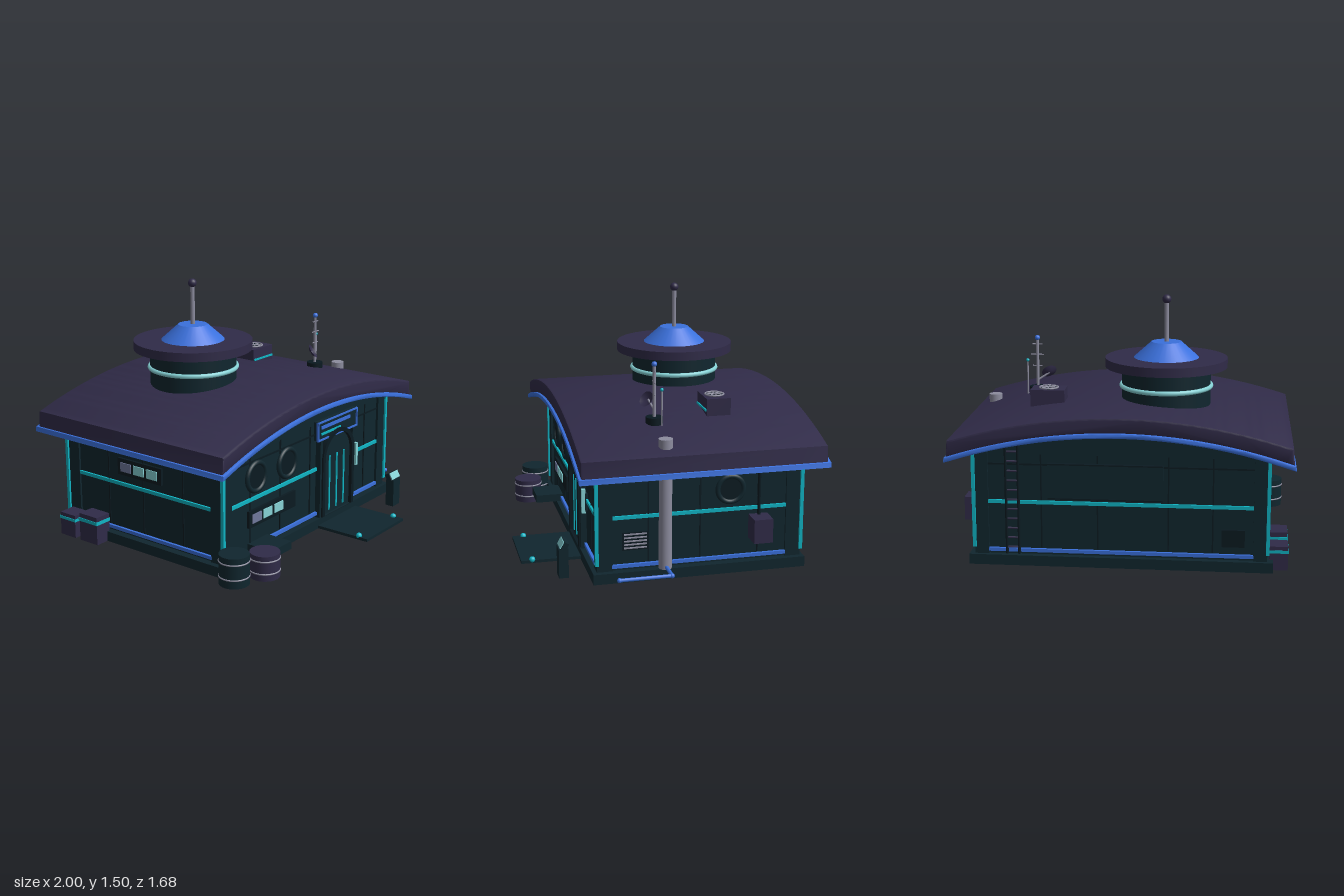
import * as THREE from 'three';
import { toCreasedNormals } from 'three/addons/utils/BufferGeometryUtils.js';

const mat = (name, color, extra = {}) => Object.assign(new THREE.MeshStandardMaterial({ color, ...extra }), { name });

export function createModel() {
  const M = {
    wall: mat('dark teal', 0x10262e),
    seam: mat('deep teal', 0x0b1a21),
    purple: mat('dusk purple', 0x302b48),
    blue: mat('trim blue', 0x3a70dc),
    cyan: mat('glow cyan', 0x10b4c4),
    pale: mat('pale cyan', 0x86d2d6),
    grey: mat('pipe grey', 0x8c8c9e),
    screen: mat('muted violet', 0x70789c),
  };
  const model = new THREE.Group();
  model.name = 'outpost';

  const add = (name, geo, m, pos = [0, 0, 0], parent = model) => {
    const mesh = new THREE.Mesh(geo, m);
    mesh.name = name;
    mesh.position.set(...pos);
    parent.add(mesh);
    return mesh;
  };
  // box from min/max ranges
  const box = (name, m, [x0, x1], [y0, y1], [z0, z1], parent = model) =>
    add(name, new THREE.BoxGeometry(x1 - x0, y1 - y0, z1 - z0), m,
      [(x0 + x1) / 2, (y0 + y1) / 2, (z0 + z1) / 2], parent);
  // upright cylinder between two heights
  const cyl = (name, m, r, x, z, y0, y1, parent = model, rTop = r, seg = 24) =>
    add(name, new THREE.CylinderGeometry(rTop, r, y1 - y0, seg), m, [x, (y0 + y1) / 2, z], parent);
  const ball = (name, m, r, pos, parent = model) => add(name, new THREE.SphereGeometry(r, 16, 12), m, pos, parent);
  const ring = (name, m, r, t, pos, parent = model) => {
    const mesh = add(name, new THREE.TorusGeometry(r, t, 8, 40), m, pos, parent);
    mesh.rotation.x = Math.PI / 2;
    return mesh;
  };
  // straight rod between two points
  const rod = (name, m, a, b, r, parent = model) =>
    add(name, new THREE.TubeGeometry(new THREE.LineCurve3(new THREE.Vector3(...a), new THREE.Vector3(...b)), 1, r, 8), m, [0, 0, 0], parent);

  // ---- curved roof ----
  const CX = -0.0275, CY = -2.22;
  const arcSlab = (name, m, rOut, rIn, half, z0, z1, bevel) => {
    const ao = Math.asin((half - bevel) / rOut), ai = Math.asin((half - bevel) / rIn);
    const s = new THREE.Shape();
    s.absarc(CX, CY, rOut - bevel, Math.PI / 2 - ao, Math.PI / 2 + ao, false);
    s.absarc(CX, CY, rIn + bevel, Math.PI / 2 + ai, Math.PI / 2 - ai, true);
    const g = new THREE.ExtrudeGeometry(s, {
      depth: z1 - z0 - 2 * bevel, curveSegments: 28, bevelEnabled: bevel > 0,
      bevelSize: bevel, bevelThickness: bevel, bevelSegments: 2,
    });
    return add(name, toCreasedNormals(g, 0.6), m, [0, 0, z0 + bevel]);
  };
  arcSlab('roof', M.purple, 3.115, 3.025, 0.96, -0.828, 0.572, 0.012);
  arcSlab('roofTrim', M.blue, 3.03, 3.003, 0.973, -0.845, 0.585, 0.006);

  // ---- body and base ----
  box('base', M.wall, [-0.89, 0.835], [0, 0.06], [-0.745, 0.49]);
  const body = new THREE.Shape();
  const half = 0.8175, ba = Math.asin(half / 3.01);
  body.moveTo(CX - half, 0.05).lineTo(CX + half, 0.05);
  body.absarc(CX, CY, 3.01, Math.PI / 2 - ba, Math.PI / 2 + ba, false);
  add('walls', new THREE.ExtrudeGeometry(body, { depth: 1.16, bevelEnabled: false, curveSegments: 28 }), M.wall, [0, 0, -0.71]);
  for (const sx of [-1, 1]) for (const z of [-0.68, 0.42]) {
    const x = CX + sx * 0.79, c = Math.sign(z);
    box('cornerPillar', M.wall, [x - 0.04, x + 0.04], [0.05, 0.66], [z - 0.045, z + 0.045]);
    const ex = CX + sx * 0.832, ez = z + c * 0.046;
    box('cornerLight', M.cyan, [ex - 0.01, ex + 0.01], [0.1, 0.66], [ez - 0.01, ez + 0.01]);
  }

  // ---- wall frames: local x along the wall, local z outward ----
  const wallGroup = (name, x, z, turn) => {
    const g = new THREE.Group();
    g.name = name;
    g.position.set(x, 0, z);
    g.rotation.y = turn * Math.PI / 2;
    model.add(g);
    return g;
  };
  const front = wallGroup('frontWall', 0, 0.45, 0);
  const right = wallGroup('rightWall', 0.79, 0, 1);
  const back = wallGroup('backWall', 0, -0.71, 2);
  const left = wallGroup('leftWall', -0.845, 0, -1);
  const stripes = [
    [front, [[-0.78, 0.05], [0.42, 0.725]], [[-0.43, 0.05], [0.42, 0.725]], [-0.78, 0.725], [-0.6, -0.315, -0.015, 0.58]],
    [right, [[-0.38, 0.635]], [[-0.38, 0.635]], [-0.38, 0.635], [-0.17, 0.13, 0.47]],
    [back, [[-0.725, 0.78]], [[-0.725, 0.78]], [-0.725, 0.78], [-0.42, -0.1, 0.3, 0.55]],
    [left, [[-0.635, 0.38]], [[-0.635, 0.38]], [-0.635, 0.38], [-0.4, -0.13, 0.17]],
  ];
  for (const [g, cy, bl, [a, b], seams] of stripes) {
    for (const u of cy) box('lightStripe', M.cyan, u, [0.36, 0.38], [0, 0.012], g);
    for (const u of bl) box('skirtStripe', M.blue, u, [0.075, 0.095], [0, 0.016], g);
    box('panelSeam', M.seam, [a, b], [0.585, 0.595], [0, 0.005], g);
    for (const u of seams) box('panelSeam', M.seam, [u - 0.004, u + 0.004], [0.1, 0.65], [0, 0.005], g);
  }
  // round windows
  const porthole = (g, u, y, r) => {
    add('windowFrame', new THREE.TorusGeometry(r, 0.015, 8, 36), M.wall, [u, y, 0.008], g);
    add('windowPane', new THREE.CylinderGeometry(r - 0.01, r - 0.01, 0.012, 32), M.seam, [u, y, 0.006], g).rotation.x = Math.PI / 2;
  };
  porthole(front, -0.55, 0.495, 0.082);
  porthole(front, -0.255, 0.495, 0.082);
  porthole(right, 0.305, 0.49, 0.075);
  // strips of three screens
  const screens = (g, u, y, w, span) => {
    box('screenPanel', M.seam, [u - 0.025, u + span], [y - 0.05, y + 0.05], [0, 0.016], g);
    [M.screen, M.pale, M.pale].forEach((m, i) =>
      box('screen', m, [u + i * w * 1.25, u + i * w * 1.25 + w], [y - 0.027, y + 0.027], [0.015, 0.022], g));
  };
  screens(front, -0.6, 0.255, 0.083, 0.42);
  screens(left, -0.29, 0.48, 0.08, 0.31);

  // ---- door ----
  const arch = (name, m, w, spring, y0, depth, hole) => {
    const path = (P, hw) => {
      P.moveTo(-hw, y0).lineTo(hw, y0).lineTo(hw, spring);
      P.absarc(0, spring, hw, 0, Math.PI, false);
      P.lineTo(-hw, y0);
      return P;
    };
    const s = path(new THREE.Shape(), w);
    if (hole) s.holes.push(path(new THREE.Path(), hole));
    const g = new THREE.ExtrudeGeometry(s, { depth, bevelEnabled: false, curveSegments: 20 });
    add(name, toCreasedNormals(g, 0.5), m, [0.235, 0, 0], front);
  };
  arch('doorLeaf', M.wall, 0.15, 0.42, 0.06, 0.025);
  arch('doorFrame', M.seam, 0.17, 0.42, 0.06, 0.045, 0.145);
  for (const s of [0.06, 0.41]) box('doorPost', M.wall, [s - 0.012, s + 0.012], [0.05, 0.55], [0, 0.035], front);
  for (const u of [0.158, 0.235, 0.312]) box('doorLight', M.cyan, [u - 0.006, u + 0.006], [0.08, 0.43], [0.024, 0.031], front);
  box('lampBracket', M.wall, [0.435, 0.47], [0.31, 0.41], [0, 0.015], front);
  box('doorLamp', M.pale, [0.442, 0.463], [0.29, 0.435], [0.012, 0.035], front);
  // sign over the door
  box('signBoard', M.wall, [0.025, 0.445], [0.555, 0.67], [0, 0.028], front);
  for (const y of [0.555, 0.665]) box('signFrame', M.blue, [0.022, 0.448], [y - 0.005, y + 0.005], [0.02, 0.036], front);
  for (const u of [0.027, 0.443]) box('signFrame', M.blue, [u - 0.005, u + 0.005], [0.555, 0.665], [0.02, 0.036], front);
  box('signBar', M.blue, [0.06, 0.37], [0.62, 0.64], [0.028, 0.034], front);
  box('signBar', M.cyan, [0.06, 0.265], [0.583, 0.597], [0.028, 0.034], front);

  // ---- right wall: vent, junction box, pipe, rail ----
  box('ventPanel', M.seam, [-0.32, -0.17], [0.175, 0.28], [0, 0.008], right);
  for (let i = 0; i < 5; i++) box('ventSlat', M.grey, [-0.31, -0.18], [0.186 + i * 0.02, 0.193 + i * 0.02], [0.006, 0.016], right);
  box('junctionBox', M.purple, [0.415, 0.525], [0.19, 0.33], [0, 0.115], right);
  rod('conduit', M.seam, [0.47, 0.32, 0.02], [0.47, 0.65, 0.02], 0.009, right);
  cyl('exhaustPipe', M.grey, 0.037, 0.827, 0.08, 0.065, 0.77);
  cyl('exhaustCap', M.grey, 0.04, 0.827, 0.08, 0.765, 0.818);
  rod('sideRail', M.blue, [0.82, 0.08, 0.08], [0.985, 0.08, 0.08], 0.011);
  rod('sideRail', M.blue, [0.985, 0.08, 0.08], [0.985, 0.08, 0.375], 0.011);
  for (const z of [0.08, 0.375]) ball('railEnd', M.blue, 0.014, [0.985, 0.08, z]);

  // ---- back wall: ladder, shutter, hatch ----
  for (const u of [-0.615, -0.545]) rod('ladderRail', M.seam, [u, 0.07, 0.03], [u, 0.72, 0.03], 0.008, back);
  for (let i = 0; i < 11; i++) rod('ladderRung', M.purple, [-0.615, 0.11 + i * 0.056, 0.03], [-0.545, 0.11 + i * 0.056, 0.03], 0.006, back);
  box('shutter', M.wall, [-0.38, 0.27], [0.395, 0.6], [0, 0.022], back);
  for (const y of [0.395, 0.595]) box('shutterEdge', M.seam, [-0.38, 0.27], [y, y + 0.008], [0, 0.026], back);
  box('hatch', M.seam, [0.6, 0.73], [0.14, 0.24], [0, 0.016], back);

  // ---- tower ----
  const T = [-0.255, -0.245];
  cyl('towerDrum', M.wall, 0.26, ...T, 0.8, 1.08, model, 0.26, 48);
  ring('towerLight', M.pale, 0.262, 0.014, [T[0], 0.965, T[1]]);
  cyl('towerRoof', M.purple, 0.357, ...T, 1.077, 1.13, model, 0.357, 48);
  cyl('towerCone', M.blue, 0.19, ...T, 1.13, 1.222, model, 0.088, 32);
  cyl('towerMast', M.grey, 0.013, ...T, 1.22, 1.46);
  ball('mastBall', M.purple, 0.026, [T[0], 1.47, T[1]]);

  // ---- rooftop fan unit ----
  box('fanUnit', M.purple, [0.33, 0.53], [0.82, 0.945], [-0.38, -0.238]);
  box('fanUnitLight', M.cyan, [0.335, 0.525], [0.872, 0.884], [-0.239, -0.231]);
  cyl('fanWell', M.seam, 0.055, 0.43, -0.31, 0.94, 0.949);
  ring('fanRim', M.grey, 0.054, 0.005, [0.43, 0.95, -0.31]);
  for (let i = 0; i < 4; i++) {
    const a = i * Math.PI / 4, c = Math.cos(a) * 0.05, s = Math.sin(a) * 0.05;
    rod('fanSpoke', M.grey, [0.43 - c, 0.951, -0.31 - s], [0.43 + c, 0.951, -0.31 + s], 0.004);
  }

  // ---- antennas and dish ----
  cyl('antennaBase', M.seam, 0.05, 0.56, 0.08, 0.82, 0.872);
  cyl('antennaMast', M.grey, 0.009, 0.56, 0.08, 0.86, 1.17);
  ball('antennaTip', M.blue, 0.016, [0.56, 1.175, 0.08]);
  [[1.135, 0.03], [1.07, 0.04], [1.0, 0.03]].forEach(([y, w]) =>
    rod('antennaBar', M.grey, [0.56 - w, y, 0.08], [0.56 + w, y, 0.08], 0.004));
  cyl('smallMast', M.grey, 0.005, 0.617, 0.05, 0.83, 1.04);
  ball('smallTip', M.cyan, 0.01, [0.617, 1.04, 0.05]);
  rod('dishArm', M.grey, [0.56, 0.91, 0.08], [0.49, 0.955, 0.098], 0.006);
  const dishShape = [[0, 0], [0.025, 0.004], [0.047, 0.018]].map(p => new THREE.Vector2(...p));
  const dishMat = mat('dish purple', 0x302b48, { side: THREE.DoubleSide });
  const dish = add('dish', new THREE.LatheGeometry(dishShape, 24), dishMat, [0.487, 0.95, 0.098]);
  dish.quaternion.setFromUnitVectors(new THREE.Vector3(0, 1, 0), new THREE.Vector3(0.4, 0.55, 0.7).normalize());

  // ---- ramp, bench, terminal ----
  box('ramp', M.wall, [0.025, 0.44], [0.003, 0.02], [0.47, 0.84]);
  for (const x of [0.04, 0.43]) ball('rampLight', M.cyan, 0.018, [x, 0.022, 0.775]);
  box('bench', M.wall, [-0.62, -0.435], [0.06, 0.108], [0.45, 0.622]);
  box('terminalPost', M.wall, [0.618, 0.695], [0, 0.175], [0.605, 0.66]);
  const head = box('terminalHead', M.wall, [0.604, 0.709], [0.165, 0.215], [0.612, 0.642]);
  head.rotation.x = -0.5;
  box('terminalScreen', M.pale, [-0.046, 0.046], [-0.022, 0.022], [0.014, 0.02], head);

  // ---- barrels and crates ----
  for (const [m, x, z, h] of [[M.wall, -0.888, 0.565, 0.175], [M.purple, -0.708, 0.638, 0.145]]) {
    cyl('barrel', m, 0.086, x, z, 0, h, model, 0.086, 28);
    for (const y of [0.28, 0.78]) ring('barrelBand', M.grey, 0.085, 0.005, [x, y * h, z]);
  }
  for (const [z, w, h] of [[-0.63, 0.06, 0.14], [-0.46, 0.07, 0.17]]) {
    box('crate', M.purple, [-0.975, -0.87], [0, h], [z - w, z + w]);
    box('crateBand', M.cyan, [-0.979, -0.868], [h * 0.72, h * 0.84], [z - w - 0.004, z + w + 0.004]);
  }
  return model;
}
